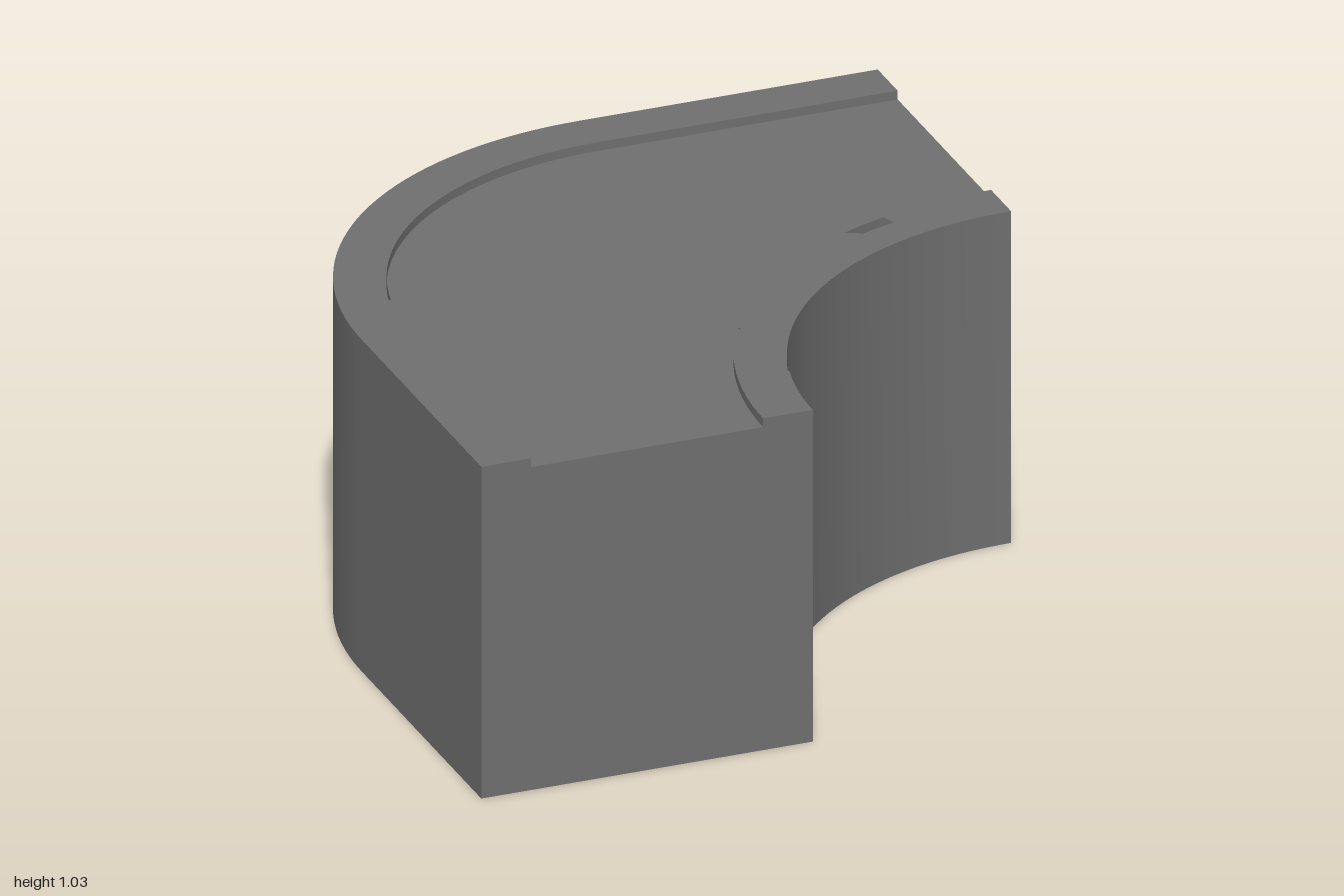
import * as THREE from 'three';
import { toCreasedNormals } from 'three/addons/utils/BufferGeometryUtils.js';

const ROAD_Y = 1, KERB_Y = 1.027;
const INNER = 1, OUTER = 0.1; // bend centres, on the line x = z

// Point [x, z] on a bend; 0 degrees points to -x, 90 to -z
function polar(c, r, deg) {
  const a = THREE.MathUtils.degToRad(deg);
  return [c - r * Math.cos(a), c - r * Math.sin(a)];
}

function arc(c, r, from, to) {
  const n = Math.round(Math.abs(to - from) / 2.5);
  if (n === 0) return [polar(c, r, from)];
  return Array.from({ length: n + 1 }, (_, i) => polar(c, r, from + ((to - from) * i) / n));
}

const planShape = (outline) => new THREE.Shape(outline.map(([x, z]) => new THREE.Vector2(x, -z)));

function part(name, geo, material) {
  const mesh = new THREE.Mesh(geo, material);
  mesh.name = name;
  return mesh;
}

// Thin upright wall around a closed outline, from the road to the kerb top
function wallGeometry(outline) {
  const pos = [];
  outline.forEach(([x0, z0], i) => {
    const [x1, z1] = outline[(i + 1) % outline.length];
    pos.push(x0, ROAD_Y, z0, x1, ROAD_Y, z1, x1, KERB_Y, z1);
    pos.push(x0, ROAD_Y, z0, x1, KERB_Y, z1, x0, KERB_Y, z0);
  });
  const geo = new THREE.BufferGeometry();
  geo.setAttribute('position', new THREE.Float32BufferAttribute(pos, 3));
  geo.computeVertexNormals();
  return toCreasedNormals(geo, 0.3);
}

// Hollow kerb: unbroken walls, with chips missing between the top pieces
function kerb(name, wallOutline, topOutlines, material) {
  const group = new THREE.Group();
  group.name = name;
  group.add(part(name + 'Wall', wallGeometry(wallOutline), material));
  for (const outline of topOutlines) {
    const geo = new THREE.ShapeGeometry(planShape(outline));
    geo.rotateX(-Math.PI / 2).translate(0, KERB_Y, 0);
    group.add(part(name + 'Top', geo, material));
  }
  return group;
}

export function createModel() {
  const group = new THREE.Group();
  group.name = 'cornerBlock';
  const darkGrey = new THREE.MeshStandardMaterial({ color: 0x6f6f6f });
  const thinGrey = new THREE.MeshStandardMaterial({ color: 0x6f6f6f, side: THREE.DoubleSide });

  // Solid corner block with the road on top
  const block = new THREE.ExtrudeGeometry(planShape([
    [-1, 1], ...arc(OUTER, 1.1, 0, 90), [1, -1], ...arc(INNER, 1, 90, 0),
  ]), { depth: ROAD_Y, bevelEnabled: false });
  block.rotateX(-Math.PI / 2);
  group.add(part('roadBlock', toCreasedNormals(block, 0.3), darkGrey));

  // Inner kerb around the hollow, top pieces as [hole side from, to, road side from, to]
  const innerOutline = (h0, h1, r0, r1) => [...arc(INNER, 1, h0, h1), ...arc(INNER, 1.15, r1, r0)];
  group.add(kerb('innerKerb', innerOutline(0, 90, 0, 90), [
    innerOutline(0, 15, 0, 22.5),
    innerOutline(22.5, 22.5, 22.5, 30),
    innerOutline(30, 72.5, 30, 65),
    innerOutline(72.5, 90, 72.5, 90),
  ], thinGrey));

  // Outer kerb: straight run and bend, middle wedge, bend and straight run
  group.add(kerb('outerKerb', [
    [-0.85, 1], ...arc(OUTER, 0.95, 0, 90), [1, -0.85], [1, -1], ...arc(OUTER, 1.1, 90, 0), [-1, 1],
  ], [
    [[-1, 1], ...arc(OUTER, 1.1, 0, 20), ...arc(OUTER, 0.95, 12.5, 0), [-0.85, 1]],
    [...arc(OUTER, 1.1, 20, 27.5), polar(OUTER, 0.95, 20)],
    [...arc(OUTER, 1.1, 27.5, 90), [1, -1], [1, -0.85], ...arc(OUTER, 0.95, 90, 27.5)],
  ], thinGrey));

  return group;
}
